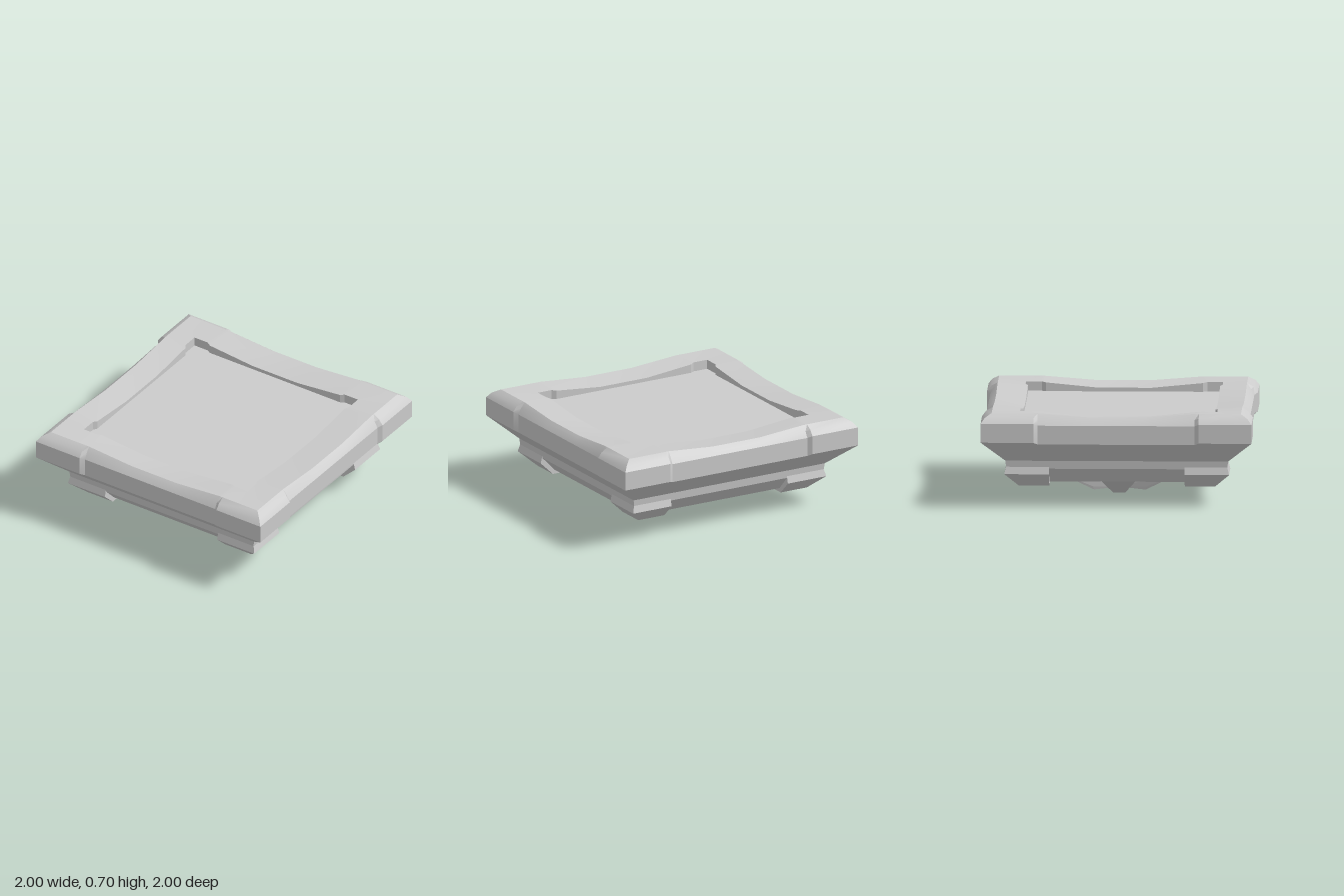
import * as THREE from 'three';
import { toCreasedNormals } from 'three/addons/utils/BufferGeometryUtils.js';
import { ConvexGeometry } from 'three/addons/geometries/ConvexGeometry.js';

const material = new THREE.MeshStandardMaterial({ color: 0xcccccc });

// Square ring: corner blocks use (cr, cy); the inset middle of each side uses
// radius mr, with height ey at its ends and my at its centre.
function squareRing([cr, cy, mr, ey, my, ox = 0, oz = 0]) {
  const side = [
    [-cr, cr, cy], [-0.61, cr, cy], [-0.58, mr, ey], [-0.2, mr, my],
    [0.2, mr, my], [0.58, mr, ey], [0.61, cr, cy],
  ];
  const ring = [];
  for (let k = 0; k < 4; k++) {
    for (const [t, r, y] of side) {
      let x = THREE.MathUtils.clamp(t, -cr, cr), z = r;
      for (let n = 0; n < k; n++) [x, z] = [z, -x];
      ring.push([x + ox, y, z + oz]);
    }
  }
  return ring;
}

// Skin consecutive rings, listed from bottom to top
function loft(rows) {
  const rings = rows.map(squareRing);
  const pos = [];
  for (let j = 0; j < rings.length - 1; j++) {
    const n = rings[j].length;
    for (let i = 0; i < n; i++) {
      const k = (i + 1) % n;
      const a = rings[j][i], b = rings[j][k], c = rings[j + 1][k], d = rings[j + 1][i];
      pos.push(...a, ...b, ...c, ...a, ...c, ...d);
    }
  }
  const geometry = new THREE.BufferGeometry();
  geometry.setAttribute('position', new THREE.Float32BufferAttribute(pos, 3));
  return toCreasedNormals(geometry, 0.4);
}

function hull(points) {
  return new ConvexGeometry(points.map((p) => new THREE.Vector3(...p)));
}

export function createModel() {
  const group = new THREE.Group();
  const add = (name, geometry, angle = 0) => {
    const mesh = new THREE.Mesh(geometry, material);
    mesh.name = name;
    mesh.rotation.y = angle;
    group.add(mesh);
  };

  // Slab with sagging rim, notched sides and sunken top panel
  const ox = -0.018, oz = 0.013;
  add('slab', loft([
    [0, 0.16, 0, 0.16, 0.16],
    [0.71, 0.16, 0.71, 0.16, 0.16],
    [0.815, 0.27, 0.815, 0.27, 0.27],
    [0.822, 0.33, 0.822, 0.33, 0.33],
    [1, 0.49, 0.975, 0.475, 0.475],
    [1, 0.63, 0.975, 0.615, 0.615],
    [0.97, 0.67, 0.95, 0.66, 0.645],
    [0.92, 0.70, 0.92, 0.70, 0.67],
    [0.728, 0.69, 0.71, 0.685, 0.648, ox, oz],
    [0.728, 0.62, 0.71, 0.62, 0.62, ox, oz],
    [0, 0.62, 0, 0.62, 0.62, ox, oz],
  ]));

  // Bevelled corner feet
  const footPoints = [];
  for (const [outer, y] of [[0.725, 0.13], [0.83, 0.23], [0.815, 0.29]]) {
    for (const x of [0.5, outer]) for (const z of [0.5, outer]) footPoints.push([x, y, z]);
  }
  const foot = hull(footPoints);

  // Tapered petals meeting under the centre
  const petal = hull([
    [-0.16, 0.165, 0.5], [0.16, 0.165, 0.5],
    [-0.045, 0, 0.19], [0.045, 0, 0.19],
    [-0.055, 0.025, 0.2], [0.055, 0.025, 0.2],
    [0, 0.015, 0], [0, 0.165, 0],
  ]);

  for (let i = 0; i < 4; i++) {
    add('foot', foot, (i * Math.PI) / 2);
    add('petal', petal, (i * Math.PI) / 2);
  }
  return group;
}
